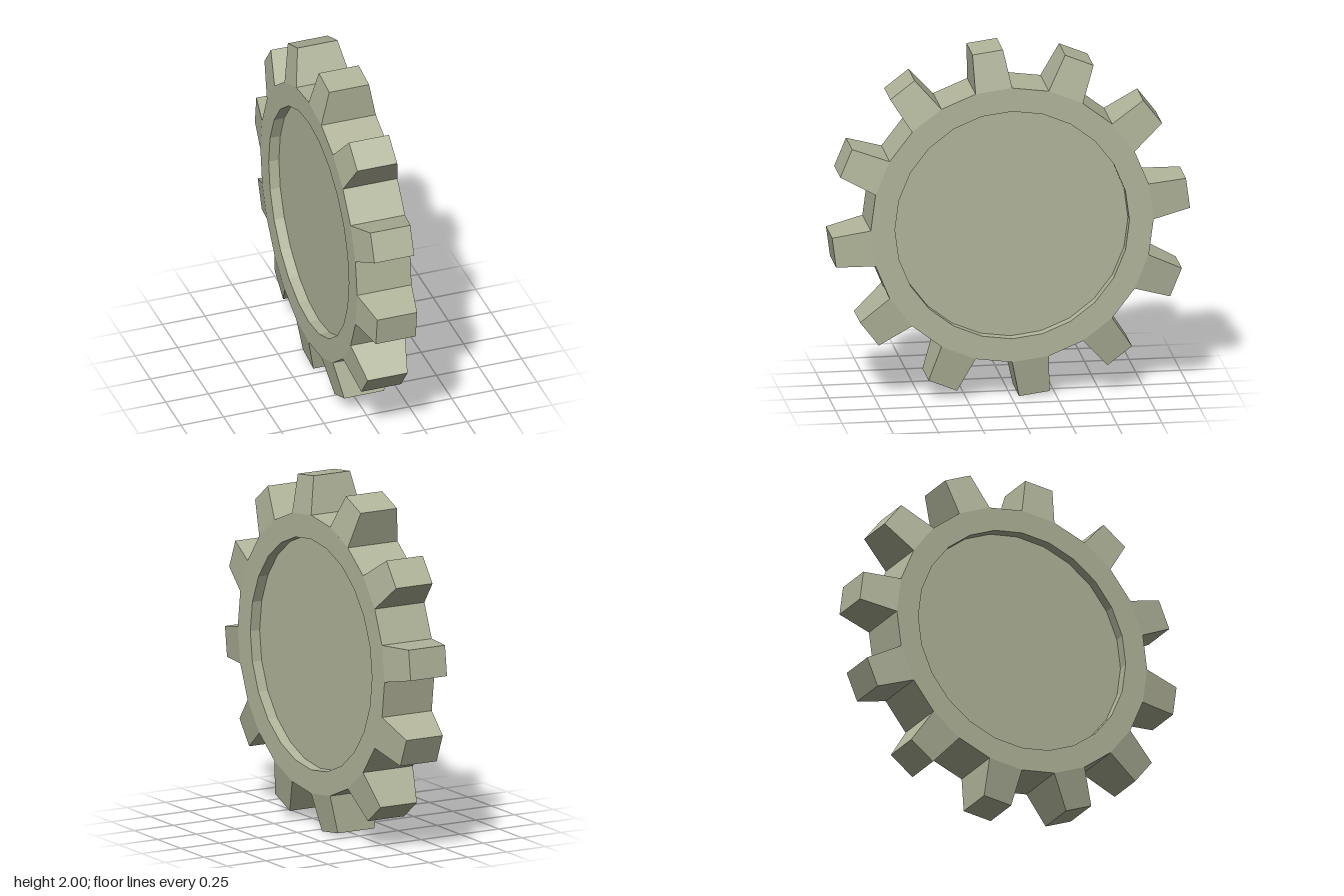
import * as THREE from 'three';

const TEETH = 12;
const BODY_R = 0.79, HALF_W = 0.16;   // wheel body
const DISH_R = 0.655, DISH_X = 0.1;   // recessed centre on both sides
const TIP_R = 0.997;

// Toothed block narrowing towards its tip in both directions
function toothGeometry() {
  const base = BODY_R * Math.cos(Math.PI / 24);
  const baseWidth = 2 * BODY_R * Math.sin(Math.PI / 24);
  const geo = new THREE.BoxGeometry(2 * HALF_W, TIP_R - base, baseWidth);
  geo.translate(0, (TIP_R + base) / 2, 0);
  const pos = geo.attributes.position;
  for (let i = 0; i < pos.count; i++) {
    if (pos.getY(i) < TIP_R - 0.01) continue;
    pos.setX(i, Math.sign(pos.getX(i)) * 0.117);
    pos.setZ(i, Math.sign(pos.getZ(i)) * 0.086);
  }
  geo.computeVertexNormals();
  return geo;
}

export function createModel() {
  const model = new THREE.Group();
  model.name = 'gear';
  const material = new THREE.MeshStandardMaterial({ color: 0xb2b69b, flatShading: true });

  const wheel = new THREE.Group();
  wheel.name = 'wheel';
  wheel.position.y = 1;
  model.add(wheel);

  // 24-sided body with a shallow round recess on each face
  const profile = [
    [0, -DISH_X], [DISH_R, -DISH_X], [DISH_R, -HALF_W], [BODY_R, -HALF_W],
    [BODY_R, HALF_W], [DISH_R, HALF_W], [DISH_R, DISH_X], [0, DISH_X],
  ].map(([r, y]) => new THREE.Vector2(r, y));
  const body = new THREE.Mesh(new THREE.LatheGeometry(profile, 2 * TEETH), material);
  body.name = 'gearBody';
  body.rotation.z = -Math.PI / 2;
  wheel.add(body);

  // One tooth on every second facet of the rim
  const toothGeo = toothGeometry();
  for (let i = 0; i < TEETH; i++) {
    const tooth = new THREE.Mesh(toothGeo, material);
    tooth.name = `tooth${i + 1}`;
    tooth.rotation.x = ((i + 0.25) / TEETH) * Math.PI * 2;
    wheel.add(tooth);
  }

  return model;
}
